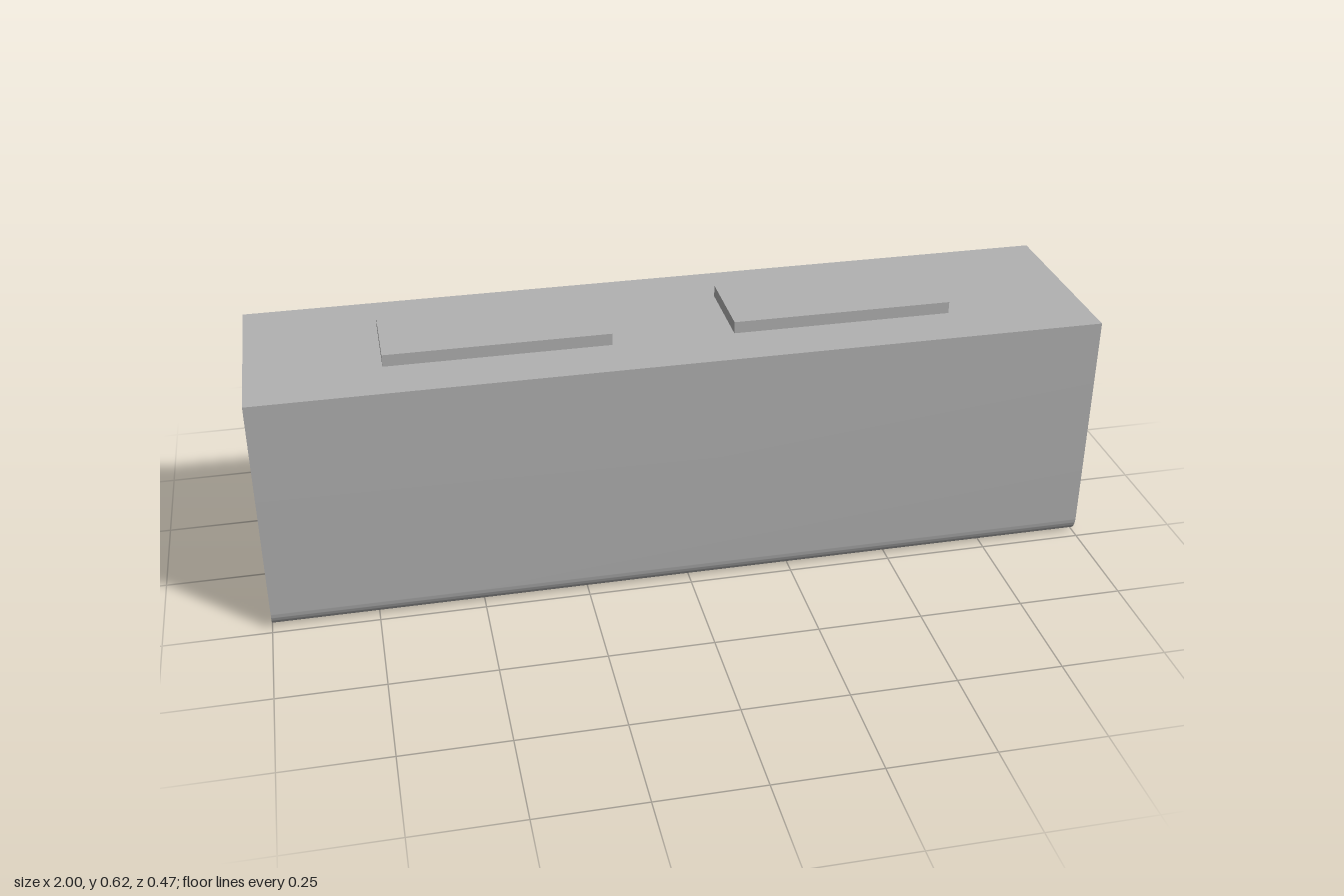
import * as THREE from 'three';
import { toCreasedNormals } from 'three/addons/utils/BufferGeometryUtils.js';

export function createModel() {
  const group = new THREE.Group();
  const grey = new THREE.MeshStandardMaterial({ color: 0xb2b2b2 });
  grey.name = 'grey';

  const length = 2, halfDepth = 0.236, height = 0.592;
  const rz = 0.036, ry = 0.043; // rounding of the lower long edges

  // Body: end profile with rounded lower corners, swept along x
  const profile = new THREE.Shape();
  profile.moveTo(halfDepth, height);
  profile.lineTo(-halfDepth, height);
  profile.lineTo(-halfDepth, ry);
  profile.absellipse(-halfDepth + rz, ry, rz, ry, Math.PI, Math.PI * 1.5, false);
  profile.lineTo(halfDepth - rz, 0);
  profile.absellipse(halfDepth - rz, ry, rz, ry, Math.PI * 1.5, Math.PI * 2, false);
  profile.closePath();

  const sweep = new THREE.ExtrudeGeometry(profile, { depth: length, bevelEnabled: false, curveSegments: 16 });
  sweep.translate(0, 0, -length / 2);
  sweep.rotateY(Math.PI / 2);
  const body = new THREE.Mesh(toCreasedNormals(sweep, 0.5), grey);
  body.name = 'body';
  group.add(body);

  // Two raised plates on the top
  const plateHeight = 0.029;
  const plateGeometry = new THREE.BoxGeometry(0.53, plateHeight, 0.208);
  for (const [name, x] of [['rightTopPlate', -0.424], ['leftTopPlate', 0.397]]) {
    const plate = new THREE.Mesh(plateGeometry, grey);
    plate.name = name;
    plate.position.set(x, height + plateHeight / 2, 0.002);
    group.add(plate);
  }

  return group;
}
